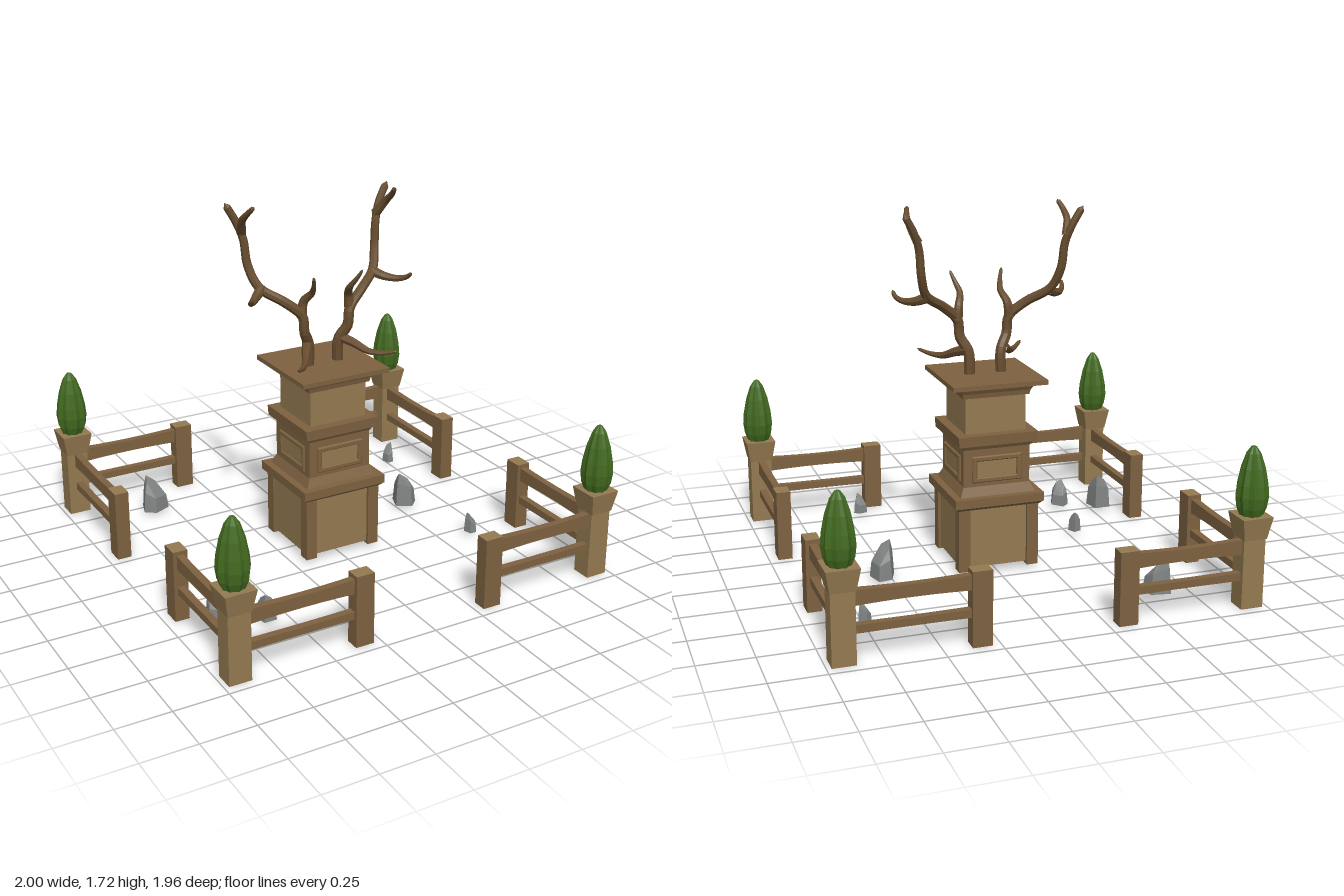
import * as THREE from 'three';
import { ConvexGeometry } from 'three/addons/geometries/ConvexGeometry.js';

const mat = (color) => new THREE.MeshStandardMaterial({ color, flatShading: true });
const WOOD = mat(0x7d6140), LIGHT = mat(0x937950), ANTLER = mat(0x664c2e);
const LEAF = mat(0x41691f), STONE = mat(0x7f8382);

function add(parent, name, geometry, material, x = 0, y = 0, z = 0) {
  const mesh = new THREE.Mesh(geometry, material);
  mesh.name = name;
  mesh.position.set(x, y, z);
  parent.add(mesh);
  return mesh;
}

// Square block standing on y0, with its own half width at bottom and top
function block(parent, name, material, halfBottom, halfTop, y0, y1, x = 0, z = 0) {
  const g = new THREE.CylinderGeometry(halfTop * Math.SQRT2, halfBottom * Math.SQRT2, y1 - y0, 4);
  g.rotateY(Math.PI / 4);
  return add(parent, name, g, material, x, (y0 + y1) / 2, z);
}

// Tube narrowing from r0 to r1 with a closed tip
function tine(parent, name, points, r0, r1, side) {
  const path = new THREE.CatmullRomCurve3(points.map(([x, y, z]) => new THREE.Vector3(x * side, y, z)));
  const steps = points.length * 4, sides = 8;
  const g = new THREE.TubeGeometry(path, steps, 1, sides, false);
  const p = g.attributes.position, v = new THREE.Vector3();
  for (let i = 0; i <= steps; i++) {
    const c = path.getPointAt(i / steps);
    const r = i === steps ? 0 : THREE.MathUtils.lerp(r0, r1, i / steps);
    for (let j = 0; j <= sides; j++) {
      const k = i * (sides + 1) + j;
      v.fromBufferAttribute(p, k).sub(c).multiplyScalar(r).add(c);
      p.setXYZ(k, v.x, v.y, v.z);
    }
  }
  g.computeVertexNormals();
  add(parent, name, g, ANTLER);
}

function antler(side) {
  const g = new THREE.Group();
  g.name = side > 0 ? 'leftAntler' : 'rightAntler';
  tine(g, 'beam', [[0.078, 0.92, 0.005], [0.08, 1.03, 0.012], [0.115, 1.1, 0.035], [0.125, 1.18, 0.035],
    [0.2, 1.25, 0.01], [0.3, 1.32, -0.05], [0.335, 1.42, -0.095], [0.348, 1.54, -0.108],
    [0.375, 1.62, -0.125], [0.425, 1.71, -0.135]], 0.027, 0.017, side);
  tine(g, 'topTine', [[0.352, 1.57, -0.115], [0.375, 1.64, -0.06], [0.375, 1.68, -0.01], [0.362, 1.72, 0.035]],
    0.023, 0.01, side);
  tine(g, 'browTine', [[0.085, 1.04, 0.01], [0.125, 1.02, 0.07], [0.17, 0.99, 0.14], [0.22, 0.992, 0.2],
    [0.262, 1.008, 0.245]], 0.026, 0.007, side);
  tine(g, 'middleTine', [[0.128, 1.18, 0.03], [0.118, 1.25, 0.035], [0.1, 1.3, 0.08], [0.11, 1.34, 0.115],
    [0.128, 1.395, 0.148]], 0.026, 0.006, side);
  tine(g, 'outerTine', [[0.29, 1.315, -0.05], [0.34, 1.29, -0.01], [0.385, 1.285, 0.04], [0.41, 1.3, 0.08],
    [0.415, 1.325, 0.11]], 0.026, 0.008, side);
  return g;
}

function pedestal() {
  const g = new THREE.Group();
  g.name = 'pedestal';
  // Base with corner legs
  block(g, 'basePanel', LIGHT, 0.182, 0.182, 0.035, 0.34);
  for (const x of [-1, 1]) for (const z of [-1, 1])
    block(g, 'baseLeg', WOOD, 0.028, 0.028, 0.02, 0.34, 0.168 * x, 0.168 * z);
  block(g, 'lowerMoulding', WOOD, 0.2, 0.215, 0.325, 0.34);
  block(g, 'lowerSlab', WOOD, 0.217, 0.217, 0.34, 0.382);
  // Middle section
  block(g, 'middleFoot', WOOD, 0.183, 0.163, 0.382, 0.425);
  block(g, 'middleBody', WOOD, 0.162, 0.162, 0.42, 0.62);
  block(g, 'middleCove', WOOD, 0.163, 0.178, 0.605, 0.63);
  block(g, 'middleSlab', WOOD, 0.19, 0.193, 0.628, 0.677);
  // Top section
  block(g, 'upperBlock', LIGHT, 0.147, 0.147, 0.67, 0.87);
  block(g, 'upperCollar', WOOD, 0.16, 0.165, 0.85, 0.872);
  block(g, 'upperCove', WOOD, 0.165, 0.185, 0.872, 0.907);
  block(g, 'topSlab', WOOD, 0.228, 0.228, 0.905, 0.927);
  // Framed panel on each face
  const rect = (T, w, h) => new T([[-w, -h], [w, -h], [w, h], [-w, h]].map(([x, y]) => new THREE.Vector2(x, y)));
  const frame = rect(THREE.Shape, 0.116, 0.059);
  frame.holes.push(rect(THREE.Path, 0.102, 0.044));
  const frameGeo = new THREE.ExtrudeGeometry(frame, {
    depth: 0.008, bevelThickness: 0.006, bevelSize: 0.005, bevelSegments: 1,
  });
  for (let i = 0; i < 4; i++) {
    const face = new THREE.Group();
    face.name = 'framedPanel';
    face.rotation.y = i * Math.PI / 2;
    add(face, 'frame', frameGeo, WOOD, 0, 0.508, 0.158);
    add(face, 'panel', new THREE.BoxGeometry(0.19, 0.075, 0.01), LIGHT, 0, 0.508, 0.16);
    g.add(face);
  }
  return g;
}

// Rail along x with a gently worn top and underside
function railGeometry(y0, y1, wear) {
  const s = new THREE.Shape();
  s.moveTo(-0.26, y0);
  s.quadraticCurveTo(0, y0 + wear * 2, 0.26, y0);
  s.lineTo(0.26, y1);
  s.quadraticCurveTo(0, y1 - wear * 2, -0.26, y1);
  s.closePath();
  return new THREE.ExtrudeGeometry(s, { depth: 0.034, bevelEnabled: false, curveSegments: 6 }).translate(0, 0, -0.017);
}

function fenceWing(name, x, z, turned, sign) {
  const g = new THREE.Group();
  g.name = name;
  g.position.set(x, 0, z);
  if (turned) g.rotation.y = -Math.PI / 2;
  add(g, 'upperRail', railGeometry(0.252, 0.322, 0.007), WOOD, 0.62 * sign);
  add(g, 'lowerRail', railGeometry(0.13, 0.168, 0.002), WOOD, 0.62 * sign);
  add(g, 'endPost', new THREE.BoxGeometry(0.088, 0.34, 0.068),
    [WOOD, WOOD, LIGHT, LIGHT, WOOD, WOOD], 0.332 * sign, 0.17);
  return g;
}

// Ribbed, pointed shrub
function shrubGeometry() {
  const profile = [[0, 0.42], [0.052, 0.425], [0.068, 0.465], [0.075, 0.515], [0.07, 0.57],
    [0.055, 0.645], [0.033, 0.71], [0.012, 0.74], [0, 0.745]];
  const g = new THREE.LatheGeometry(profile.map(([x, y]) => new THREE.Vector2(x, y)), 18);
  const p = g.attributes.position;
  for (let i = 0; i < p.count; i++) {
    const rib = Math.floor(i / profile.length) % 2 ? 0.86 : 1;
    p.setX(i, p.getX(i) * rib);
    p.setZ(i, p.getZ(i) * rib);
  }
  g.computeVertexNormals();
  return g;
}

function corner(sx, sz) {
  const g = new THREE.Group();
  g.name = (sz > 0 ? 'front' : 'back') + (sx > 0 ? 'Left' : 'Right') + 'Corner';
  const x = 0.926 * sx, z = 0.908 * sz;
  add(g, 'cornerPost', new THREE.BoxGeometry(0.105, 0.34, 0.095), LIGHT, x, 0.17, z);
  block(g, 'planter', LIGHT, 0.055, 0.073, 0.325, 0.428, x, z);
  add(g, 'shrub', shrubGeometry(), LEAF, x, 0, z);
  g.add(fenceWing('frontFence', 0, 0.92 * sz, false, sx));
  g.add(fenceWing('sideFence', 0.922 * sx, 0, true, sz));
  return g;
}

// Angular stone: a tapered five-sided column with a sloping top
function stone(x, z, r, h, turn) {
  const pts = [];
  for (let i = 0; i < 5; i++) {
    const a = i * Math.PI * 0.4 + (i % 2) * 0.25, c = Math.cos(a), s = Math.sin(a);
    const w = i % 2 ? r * 0.88 : r;
    pts.push(new THREE.Vector3(c * w, 0, s * w));
    pts.push(new THREE.Vector3(c * w * 0.85, h * (0.6 + 0.18 * c), s * w * 0.85));
    pts.push(new THREE.Vector3(c * w * 0.5 + r * 0.15, h * (0.88 + 0.24 * c), s * w * 0.5));
  }
  const g = new ConvexGeometry(pts);
  g.rotateY(turn);
  return g.translate(x, 0.02, z);
}

export function createModel() {
  const model = new THREE.Group();
  model.name = 'antlerShrine';
  model.add(pedestal(), antler(1), antler(-1));
  for (const sx of [-1, 1]) for (const sz of [-1, 1]) model.add(corner(sx, sz));
  // Scattered stones: x, z, radius, height, turn
  const stones = [[-0.595, -0.68, 0.07, 0.155, 2.2], [0.75, -0.595, 0.036, 0.09, 0.4],
    [0.545, -0.12, 0.07, 0.155, 3.6], [-0.53, 0.17, 0.034, 0.09, 1.3], [0.66, 0.32, 0.036, 0.09, 2.8],
    [-0.795, 0.49, 0.07, 0.155, 1.0], [-0.605, 0.565, 0.052, 0.115, 4.1], [0.43, 0.775, 0.036, 0.09, 5.2]];
  for (const s of stones) add(model, 'stone', stone(...s), STONE);
  return model;
}
